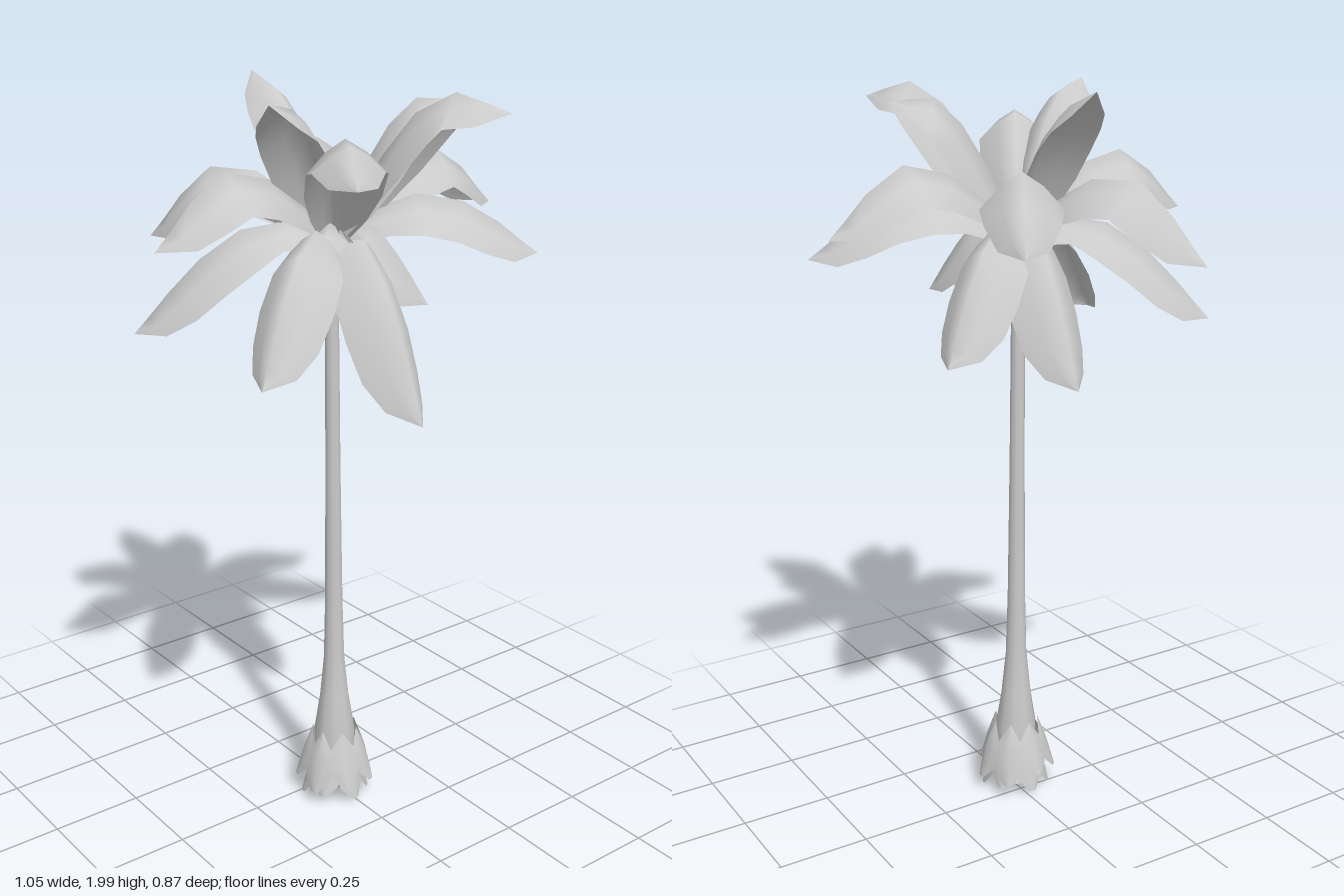
import * as THREE from 'three';

const material = new THREE.MeshStandardMaterial({ color: 0xcccccc, side: THREE.DoubleSide });
const UP = new THREE.Vector3(0, 1, 0);

// Arched blade swept along a curve; each station is [position along curve, half width]
function blade(name, points, stations, fold) {
  const curve = new THREE.CatmullRomCurve3(points);
  const out = points[points.length - 1].clone().sub(points[0]).setY(0).normalize();
  const side = out.cross(UP).normalize();
  const across = [-1, -0.5, 0, 0.5, 1];
  const positions = [], index = [];
  stations.forEach(([t, width], row) => {
    const centre = curve.getPointAt(t);
    const normal = side.clone().cross(curve.getTangentAt(t)).normalize();
    across.forEach((u, col) => {
      const drop = width * fold * Math.pow(Math.abs(u), 1.4);
      const p = centre.clone().addScaledVector(side, u * width).addScaledVector(normal, -drop);
      positions.push(p.x, p.y, p.z);
      if (row < stations.length - 1 && col < across.length - 1) {
        const a = row * across.length + col, c = a + across.length;
        index.push(a, a + 1, c, a + 1, c + 1, c);
      }
    });
  });
  const geometry = new THREE.BufferGeometry();
  geometry.setAttribute('position', new THREE.Float32BufferAttribute(positions, 3));
  geometry.setIndex(index);
  geometry.computeVertexNormals();
  const mesh = new THREE.Mesh(geometry, material);
  mesh.name = name;
  return mesh;
}

function createTrunk() {
  const profile = [[0.06, 0.06], [0.058, 0.2], [0.042, 0.3], [0.03, 0.42], [0.025, 0.6],
    [0.021, 1], [0.019, 1.4], [0.018, 1.6], [0, 1.62]].map(([r, y]) => new THREE.Vector2(r, y));
  const geometry = new THREE.LatheGeometry(profile, 10);
  // Slight lean towards the back
  const p = geometry.attributes.position;
  for (let i = 0; i < p.count; i++) p.setZ(i, p.getZ(i) + 0.047 - 0.012 * p.getY(i));
  geometry.translate(-0.01, 0, 0);
  const mesh = new THREE.Mesh(geometry, material);
  mesh.name = 'trunk';
  return mesh;
}

function createCrown() {
  const crown = new THREE.Group();
  crown.name = 'crown';
  const stations = [[0, 0.022], [0.2, 0.072], [0.4, 0.098], [0.6, 0.101], [0.78, 0.09], [0.91, 0.06], [1, 0]];
  // Tip x, y, z, then knee height and width factor
  const fronds = [
    [0.525, 1.64, 0.03, 1.805, 1], [-0.525, 1.64, 0.025, 1.805, 1],
    [0.26, 1.64, -0.435, 1.81, 1], [-0.27, 1.57, -0.425, 1.77, 1],
    [0.47, 1.55, 0.28, 1.69, 1], [-0.455, 1.38, -0.21, 1.58, 1],
    [-0.39, 1.335, 0.26, 1.55, 0.95], [0.32, 1.34, -0.18, 1.54, 0.95],
    [0, 1.2, 0.385, 1.5, 1], [0, 1.26, -0.27, 1.5, 0.95],
    [-0.245, 1.81, 0.43, 1.91, 0.95], [0.22, 1.94, 0.42, 1.98, 0.95],
    [-0.325, 1.98, 0.21, 1.95, 0.88], [0.27, 1.94, 0.19, 1.95, 0.88],
    [0, 1.99, -0.33, 1.94, 0.78],
    [0.15, 1.45, 0.22, 1.59, 0.85], [-0.16, 1.45, 0.17, 1.59, 0.85],
  ];
  for (const [x, y, z, knee, width] of fronds) {
    const base = new THREE.Vector3(-0.008, 1.6, 0.03);
    const tip = new THREE.Vector3(x, y, z);
    const shoulder = base.clone().lerp(tip, 0.3).setY(1.65 + (knee - 1.55) * 0.42);
    const middle = base.clone().lerp(tip, 0.63).setY(knee);
    crown.add(blade('frond', [base, shoulder, middle, tip], stations.map(([t, w]) => [t, w * width]), 0.9));
  }
  return crown;
}

// Rings of overlapping pointed scales around the foot
function createBase() {
  const base = new THREE.Group();
  base.name = 'baseScales';
  const rings = [
    { count: 7, turn: 0.1, radii: [0.062, 0.09, 0.113], heights: [0.215, 0.14, 0.045], width: 0.048 },
    { count: 6, turn: 0.5, radii: [0.055, 0.076, 0.096], heights: [0.17, 0.09, 0.002], width: 0.046 },
    { count: 5, turn: 0.2, radii: [0.03, 0.045, 0.06], heights: [0.13, 0.07, 0.01], width: 0.035 },
  ];
  for (const { count, turn, radii, heights, width } of rings) {
    for (let i = 0; i < count; i++) {
      const angle = turn + (i / count) * Math.PI * 2;
      const points = radii.map((r, k) => new THREE.Vector3(
        -0.011 + r * Math.cos(angle), heights[k] + (k === 2 ? (i % 3) * 0.012 : 0), 0.048 + r * Math.sin(angle)));
      base.add(blade('scale', points,
        [[0, 0], [0.3, width * 0.7], [0.5, width], [0.78, width * 0.8], [1, width * 0.25]], 0.4));
    }
  }
  return base;
}

export function createModel() {
  const palm = new THREE.Group();
  palm.name = 'palmTree';
  palm.add(createTrunk(), createCrown(), createBase());
  return palm;
}
